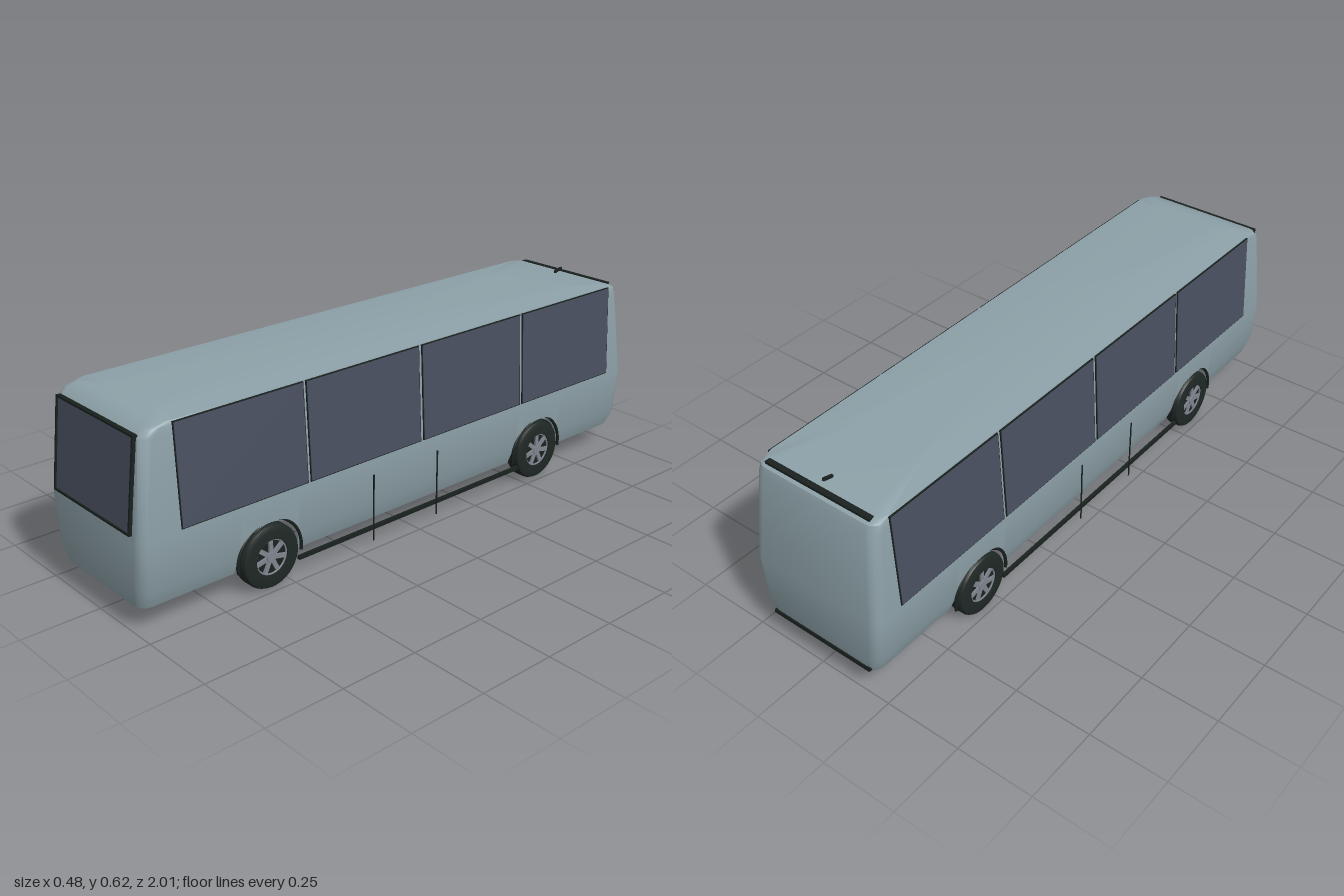
import * as THREE from 'three';
import { toCreasedNormals } from 'three/addons/utils/BufferGeometryUtils.js';

const mat = (name, color) => new THREE.MeshStandardMaterial({ name, color });
const AXLES = [0.57, -0.565], ARCH_R = 0.11, WHEEL_Y = 0.1;

// Horizontal outlines of the shell: height, half width, front z, back z
const LEVELS = [
  [0.05, 0.115, 0.965, -0.965], [0.075, 0.2, 0.99, -0.99],
  [0.075, 0.2, 0.99, -0.99], [0.13, 0.221, 1, -1], [0.28, 0.236, 1, -1],
  [0.57, 0.22, 0.966, -0.964], [0.592, 0.2185, 0.945, -0.955],
  [0.603, 0.216, 0.905, -0.93], [0.61, 0.13, 0.87, -0.68],
];

function halfWidth(y) {
  for (let i = 2; i < LEVELS.length - 1; i++) {
    const [a, wa] = LEVELS[i], [b, wb] = LEVELS[i + 1];
    if (y <= b) return wa + (wb - wa) * (y - a) / (b - a);
  }
  return 0.2;
}

// Lower edge of the side wall, lifted over each wheel
function archHeight(z) {
  for (const c of AXLES) {
    const d = Math.abs(z - c);
    if (d <= ARCH_R + 1e-6) return WHEEL_Y + Math.sqrt(Math.max(0, ARCH_R ** 2 - d * d));
  }
  return 0;
}

function shellGeometry() {
  const columns = [];
  for (const c of AXLES) {
    columns.push(c + ARCH_R + 0.001);
    for (let i = 0; i <= 20; i++) columns.push(c + ARCH_R * Math.cos(i * Math.PI / 20));
    columns.push(c - ARCH_R - 0.001);
  }
  const R = 0.035, N = 4;
  const loops = LEVELS.map(([y, w, zf, zb], level) => {
    const half = [];
    for (let i = 0; i <= N; i++) {
      const t = i / N * Math.PI / 2;
      half.push([w - R + R * Math.sin(t), y, zf - R + R * Math.cos(t)]);
    }
    for (const c of columns) {
      const z = Math.max(zb + R, c);
      const lift = level > 1 && level < 4 ? Math.max(y, archHeight(z)) : y;
      half.push([lift > y ? halfWidth(lift) : w, lift, z]);
    }
    for (let i = 0; i <= N; i++) {
      const t = i / N * Math.PI / 2;
      half.push([w - R + R * Math.cos(t), y, zb + R - R * Math.sin(t)]);
    }
    return [...half, ...half.map(([x, py, z]) => [-x, py, z]).reverse()];
  });
  const n = loops[0].length, pos = loops.flat(2), idx = [];
  for (let l = 0; l < loops.length - 1; l++) {
    if (l === 1) continue; // wheel openings stay open here
    for (let j = 0; j < n; j++) {
      const k = (j + 1) % n, a = l * n + j, b = l * n + k;
      idx.push(a, b, b + n, a, b + n, a + n);
    }
  }
  // Floor and roof caps
  const floor = pos.length / 3, top = (loops.length - 1) * n;
  pos.push(0, 0.05, 0, 0, 0.61, 0);
  for (let j = 0; j < n; j++) {
    const k = (j + 1) % n;
    idx.push(floor, k, j, floor + 1, top + j, top + k);
  }
  const g = new THREE.BufferGeometry();
  g.setAttribute('position', new THREE.Float32BufferAttribute(pos, 3));
  g.setIndex(idx);
  return toCreasedNormals(g, 0.6);
}

export function createModel() {
  const bus = new THREE.Group();
  bus.name = 'bus';
  const paint = mat('bodyPaint', 0x8ea2a9), glass = mat('tintedGlass', 0x4a5060);
  const trim = mat('blackTrim', 0x19211f), rubber = mat('tyreRubber', 0x1f2826);
  const alloy = mat('wheelAlloy', 0x80858f);

  const add = (parent, name, geo, material, x = 0, y = 0, z = 0) => {
    const m = new THREE.Mesh(geo, material);
    m.name = name;
    m.position.set(x, y, z);
    parent.add(m);
    return m;
  };
  const box = (parent, name, size, material, x, y, z) =>
    add(parent, name, new THREE.BoxGeometry(...size), material, x, y, z);

  add(bus, 'bodyShell', shellGeometry(), paint);

  // Windscreen with its frame, leaning back
  const screen = new THREE.Group();
  screen.name = 'windscreen';
  screen.position.set(0, 0.441, 0.983);
  screen.rotation.x = -0.12;
  bus.add(screen);
  box(screen, 'windscreenGlass', [0.38, 0.272, 0.006], glass, 0, 0, 0);
  for (const s of [-1, 1]) {
    box(screen, 'windscreenSideFrame', [0.006, 0.28, 0.016], trim, s * 0.191, 0, 0);
    box(screen, 'windscreenCrossFrame', [0.388, 0.006, 0.016], trim, 0, s * 0.137, 0);
  }

  // Side windows, door seams and sill rails
  const panes = [[0.87, 0.435], [0.426, -0.011], [-0.022, -0.459], [-0.469, -0.905]];
  for (const s of [-1, 1]) {
    for (const [z0, z1] of panes) {
      const pane = new THREE.Group();
      pane.name = 'sideWindow';
      pane.position.set(s * 0.2275, 0.447, (z0 + z1) / 2);
      pane.rotation.z = s * 0.054;
      bus.add(pane);
      box(pane, 'windowSeal', [0.005, 0.306, z0 - z1], trim, 0, 0, 0);
      box(pane, 'windowGlass', [0.008, 0.3, z0 - z1 - 0.006], glass, 0, 0, 0);
    }
    for (const z of [0.182, -0.085]) {
      box(bus, 'doorSeam', [0.003, 0.22, 0.004], trim, s * 0.2355, 0.13, z);
    }
    box(bus, 'sillRail', [0.01, 0.012, 0.94], trim, s * 0.228, 0.061, 0);
  }

  // Wheels and arch lips
  const tyreGeo = toCreasedNormals(new THREE.LatheGeometry([
    [0.056, -0.027], [0.085, -0.028], [0.096, -0.024], [0.1, -0.016],
    [0.1, 0.016], [0.096, 0.024], [0.085, 0.028], [0.056, 0.027], [0.055, 0.012],
  ].map(p => new THREE.Vector2(...p)), 36), 0.7).rotateZ(-Math.PI / 2);
  const discGeo = new THREE.CylinderGeometry(0.058, 0.058, 0.034, 32).rotateZ(Math.PI / 2);
  const capGeo = new THREE.CylinderGeometry(0.016, 0.018, 0.016, 20).rotateZ(-Math.PI / 2);
  const rimGeo = new THREE.TorusGeometry(0.054, 0.003, 6, 36).rotateY(Math.PI / 2);
  const lipGeo = new THREE.TorusGeometry(0.114, 0.005, 8, 36, Math.PI + 0.3)
    .rotateZ(-0.15).rotateY(Math.PI / 2);
  for (const s of [-1, 1]) for (const z of AXLES) {
    const wheel = new THREE.Group();
    wheel.name = 'wheel';
    wheel.position.set(s * 0.207, WHEEL_Y, z);
    if (s < 0) wheel.rotation.y = Math.PI;
    bus.add(wheel);
    add(wheel, 'tyre', tyreGeo, rubber);
    add(wheel, 'wheelDisc', discGeo, trim);
    add(wheel, 'hubCap', capGeo, alloy, 0.018);
    add(wheel, 'rimEdge', rimGeo, alloy, 0.021);
    for (let i = 0; i < 7; i++) {
      const a = i * Math.PI * 2 / 7;
      const spoke = box(wheel, 'spoke', [0.008, 0.04, 0.014], alloy,
        0.019, 0.034 * Math.cos(a), 0.034 * Math.sin(a));
      spoke.rotation.x = a;
    }
    add(bus, 'wheelArchLip', lipGeo, trim, s * 0.224, WHEEL_Y, z);
  }

  // Rear trim strips and roof aerial
  box(bus, 'rearRoofStrip', [0.38, 0.008, 0.018], trim, 0, 0.601, -0.937);
  const lower = box(bus, 'rearLowerStrip', [0.37, 0.012, 0.012], trim, 0, 0.086, -0.992);
  lower.rotation.x = 0.15;
  const aerial = box(bus, 'roofAerial', [0.008, 0.008, 0.034], trim, 0, 0.615, -0.9);
  aerial.rotation.x = 0.25;

  // Bent exhaust pipe under the rear floor
  const path = new THREE.CatmullRomCurve3([
    [-0.13, 0.047, -0.8], [-0.03, 0.046, -0.87], [0.01, 0.046, -0.875], [0.1, 0.047, -0.81],
  ].map(p => new THREE.Vector3(...p)));
  add(bus, 'exhaustPipe', new THREE.TubeGeometry(path, 24, 0.005, 8), trim);
  return bus;
}
